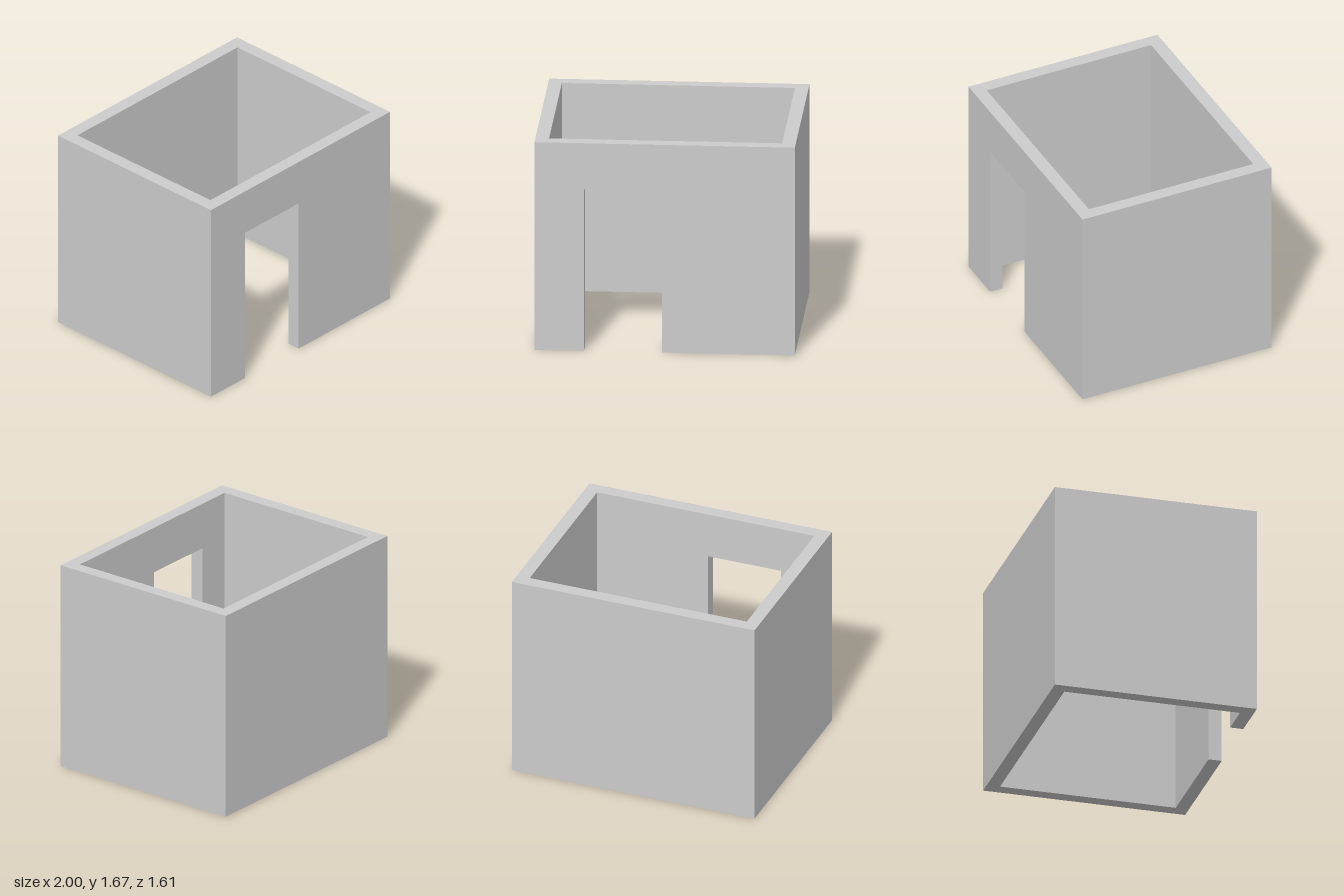
import * as THREE from 'three';

const W = 1, D = 0.805, H = 1.67, T = 0.105; // half width, half depth, height, wall thickness
const DOOR = { left: -0.62, right: -0.02, top: 1.3 };

const outline = (points) => new THREE.Shape(points.map(([x, y]) => new THREE.Vector2(x, y)));

export function createModel() {
  const group = new THREE.Group();
  group.name = 'roofless room';
  const plaster = new THREE.MeshStandardMaterial({ color: 0xcccccc });
  plaster.name = 'light grey plaster';

  const addWall = (name, shape, depth) => {
    const geometry = new THREE.ExtrudeGeometry(shape, { depth, bevelEnabled: false });
    const mesh = new THREE.Mesh(geometry, plaster);
    mesh.name = name;
    group.add(mesh);
    return mesh;
  };

  // Front wall, with a doorway open down to the ground
  const front = addWall('frontWall', outline([
    [-W, 0], [DOOR.left, 0], [DOOR.left, DOOR.top], [DOOR.right, DOOR.top],
    [DOOR.right, 0], [W, 0], [W, H], [-W, H],
  ]), T);
  front.position.z = D - T;

  // Side and back walls: one U-shaped plan raised to full height
  const f = D - T; // meets the inner face of the front wall
  const sides = addWall('sideAndBackWalls', outline([
    [-W, -f], [-W + T, -f], [-W + T, D - T], [W - T, D - T],
    [W - T, -f], [W, -f], [W, D], [-W, D],
  ]), H);
  sides.rotation.x = -Math.PI / 2; // plan y becomes -z, extrusion becomes up

  return group;
}
